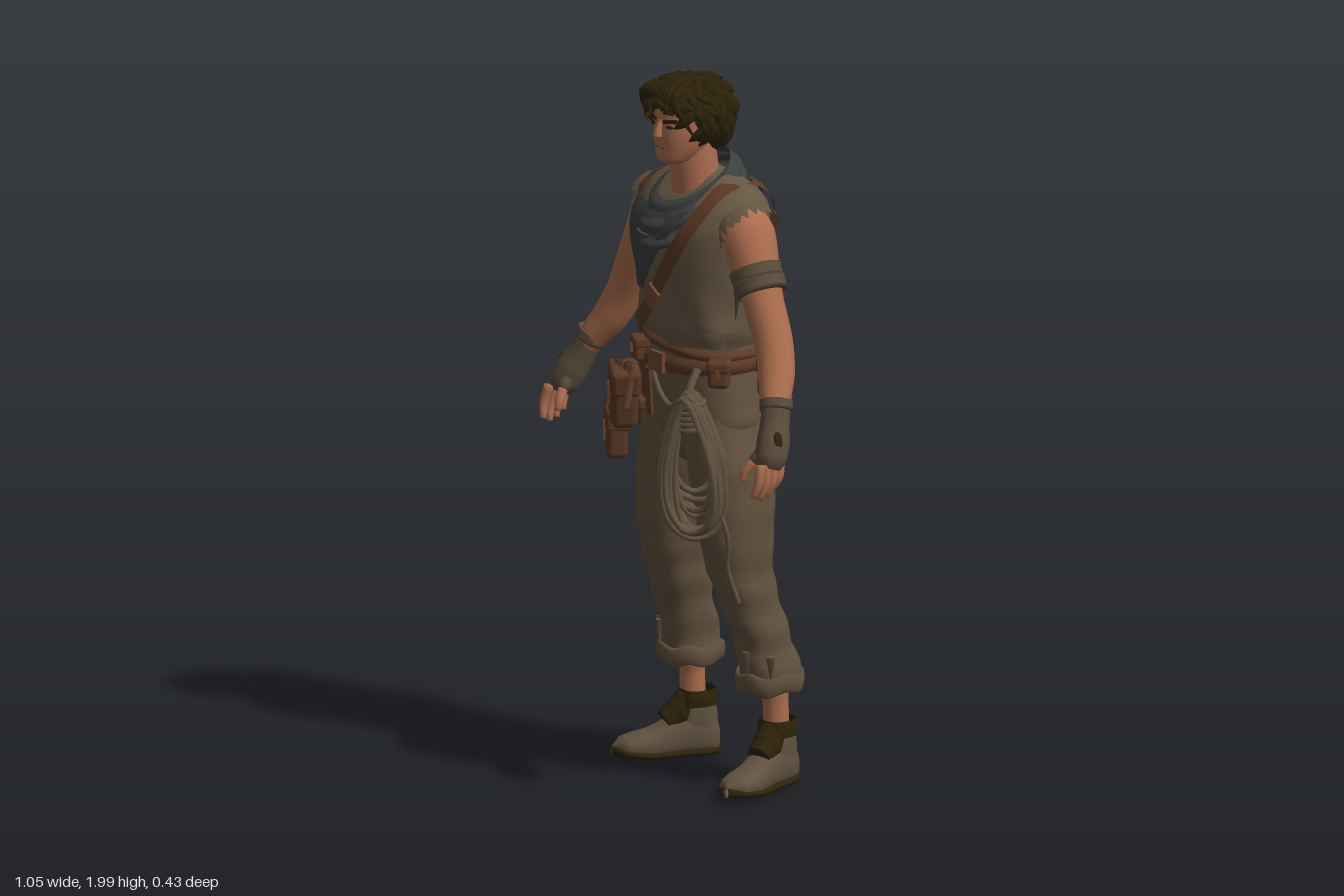
import * as THREE from 'three';
import { mergeVertices } from 'three/addons/utils/BufferGeometryUtils.js';
import { RoundedBoxGeometry } from 'three/addons/geometries/RoundedBoxGeometry.js';

const mat = (name, color) => Object.assign(new THREE.MeshStandardMaterial({ color, side: THREE.DoubleSide }), { name });
const M = {
  skin: mat('skin', 0xaa6c4d), dark: mat('dark brown', 0x2d2209), vest: mat('vest cloth', 0x655542),
  pants: mat('trouser cloth', 0x61503d), leather: mat('leather', 0x5c3925), tan: mat('light leather', 0x70452f),
  scarf: mat('scarf', 0x3b3f3d), wrap: mat('wraps', 0x594b3b), rope: mat('rope', 0x645341), boot: mat('boot', 0x605140),
};
const { sin, cos, abs, sign, PI, min, max } = Math, TAU = PI * 2;
const V = (x, y, z) => new THREE.Vector3(x, y, z);
let seed = 7;
const rnd = () => (seed = (seed * 16807) % 2147483647) / 2147483647;

function add(parent, name, geo, material, pos = [0, 0, 0], rot = [0, 0, 0]) {
  const m = new THREE.Mesh(geo, material);
  m.name = name; m.position.set(...pos); m.rotation.set(...rot);
  parent.add(m);
}
// smooth grid surface from a rule f(u, v) -> Vector3
function sheet(f, nu = 24, nv = 12) {
  const pos = [], idx = [];
  for (let j = 0; j <= nv; j++) for (let i = 0; i <= nu; i++) pos.push(...f(i / nu, j / nv).toArray());
  for (let j = 0; j < nv; j++) for (let i = 0; i < nu; i++) {
    const a = j * (nu + 1) + i, c = a + nu + 1;
    idx.push(a, a + 1, c + 1, a, c + 1, c);
  }
  let g = new THREE.BufferGeometry();
  g.setAttribute('position', new THREE.Float32BufferAttribute(pos, 3));
  g.setIndex(idx);
  g = mergeVertices(g, 1e-5);
  g.computeVertexNormals();
  return g;
}
// smooth interpolation of rows by their first column
function rowAt(rows, k) {
  let i = 0;
  while (i < rows.length - 2 && k > rows[i + 1][0]) i++;
  const b = rows[i], c = rows[i + 1], a = rows[i - 1] || b, d = rows[i + 2] || c;
  const t = min(1, max(0, (k - b[0]) / (c[0] - b[0])));
  return b.map((_, n) => b[n] + 0.5 * t * (c[n] - a[n] + t * (2 * a[n] - 5 * b[n] + 4 * c[n] - d[n] + t * (3 * (b[n] - c[n]) + d[n] - a[n]))));
}
const Q = 2.4, pw = (s) => sign(s) * abs(s) ** (2 / Q);
// point on a body made of rows [y, cx, cz, rx, rz]
function ring(rows, a, y, off = 0) {
  const [, cx, cz, rx, rz] = rowAt(rows, y);
  return V(cx + (rx + off) * pw(sin(a)), y, cz + (rz + off) * pw(cos(a)));
}
const loft = (rows, bump = () => 0, nu = 36, nv = 30) => sheet((u, v) => {
  const y = rows[0][0] + (rows[rows.length - 1][0] - rows[0][0]) * v;
  return ring(rows, u * TAU, y, bump(u * TAU, y));
}, nu, nv);
// round limb through points [x, y, z, radius]
function limb(pts, nu = 14, nv = 20) {
  const c = new THREE.CatmullRomCurve3(pts.map((p) => V(p[0], p[1], p[2])));
  return sheet((u, v) => {
    const j = Math.round(v * nv), t = min(1, max(0, (j - 1) / (nv - 2))), s = t * (pts.length - 1);
    const i = min(pts.length - 2, s | 0), r = j % nv ? pts[i][3] + (pts[i + 1][3] - pts[i][3]) * (s - i) : 0;
    const T = c.getTangent(t), N = V(0.13, 0.2, 1).cross(T).normalize(), B = T.clone().cross(N);
    return c.getPoint(t).addScaledVector(N, r * cos(u * TAU)).addScaledVector(B, r * sin(u * TAU));
  }, nu, nv);
}
const cord = (pts, r, closed = false, n = 48) =>
  new THREE.TubeGeometry(new THREE.CatmullRomCurve3(pts.map((p) => V(...p)), closed), n, r, 6, closed);

const TORSO = [[1.25, 0, -0.025, 0.182, 0.13], [1.29, 0, -0.027, 0.196, 0.143], [1.35, 0, -0.031, 0.195, 0.15], [1.42, 0, -0.031, 0.2, 0.155],
  [1.5, 0, -0.026, 0.207, 0.154], [1.58, 0, -0.027, 0.216, 0.145], [1.64, 0, -0.038, 0.216, 0.118],
  [1.68, 0, -0.045, 0.176, 0.085], [1.71, 0, -0.04, 0.105, 0.05], [1.725, 0, -0.04, 0.04, 0.02]];
const HIPS = [[0.885, 0, -0.035, 0.008, 0.05], [0.91, 0, -0.035, 0.05, 0.085], [0.96, 0, -0.035, 0.15, 0.105], [1.02, 0, -0.033, 0.193, 0.117],
  [1.08, 0, -0.03, 0.187, 0.12], [1.18, 0, -0.025, 0.173, 0.117], [1.28, 0, -0.025, 0.165, 0.11]];
const LEG = [[0.28, 0.185, -0.115, 0.074, 0.08], [0.33, 0.185, -0.115, 0.076, 0.083], [0.4, 0.18, -0.1, 0.073, 0.078],
  [0.5, 0.168, -0.07, 0.076, 0.08], [0.6, 0.155, -0.042, 0.08, 0.086], [0.7, 0.148, -0.032, 0.09, 0.099],
  [0.8, 0.138, -0.033, 0.099, 0.107], [0.9, 0.116, -0.035, 0.111, 0.114], [0.97, 0.105, -0.035, 0.102, 0.114], [1.05, 0.09, -0.035, 0.095, 0.108]];
const HEAD = [[1.742, 0, 0.07, 0.012, 0.015], [1.755, 0, 0.065, 0.042, 0.048], [1.79, 0, 0.045, 0.063, 0.073], [1.83, 0, 0.03, 0.075, 0.09],
  [1.88, 0, 0.02, 0.079, 0.096], [1.93, 0, 0.013, 0.077, 0.09], [1.97, 0, 0.01, 0.04, 0.045]];

// drop an (x, y) point onto the front or back of the torso
function onTorso(x, y, side, off) {
  const [, , cz, rx, rz] = rowAt(TORSO, y), t = min(1, abs(x) / rx);
  return V(x, y + off * 0.7 * t, cz + side * (rz * (1 - t ** Q) ** (1 / Q) + off));
}
function strap(pts, side, w, off = 0.014) {
  const c = new THREE.CatmullRomCurve3(pts.map((p) => V(p[0], p[1], 0)));
  return sheet((u, v) => {
    const p = c.getPoint(v), t = c.getTangent(v), k = w * (u - 0.5);
    return onTorso(p.x - t.y * k, p.y + t.x * k, side, off);
  }, 4, 30);
}
function pouch(parent, name, pos, [w, h, d], rot = [0, 0, 0]) {
  const g = new THREE.Group();
  g.name = name; g.position.set(...pos); g.rotation.set(...rot);
  add(g, 'pouchBody', new RoundedBoxGeometry(w, h, d, 3, min(w, h, d) * 0.3), M.leather);
  add(g, 'pouchFlap', new RoundedBoxGeometry(w * 1.07, h * 0.45, d * 1.1, 3, d * 0.2), M.leather, [0, h * 0.3, 0]);
  add(g, 'pouchTab', new THREE.BoxGeometry(w * 0.16, h * 0.4, 0.008), M.tan, [0, h * 0.05, d * 0.56]);
  parent.add(g);
}

function buildArm(parent) {
  add(parent, 'arm', limb([[0.165, 1.6, -0.03, 0.072], [0.205, 1.56, -0.03, 0.077], [0.25, 1.48, -0.024, 0.066], [0.295, 1.4, -0.018, 0.056],
    [0.345, 1.3, -0.016, 0.053], [0.385, 1.22, 0.004, 0.051], [0.42, 1.165, 0.033, 0.042], [0.45, 1.11, 0.055, 0.034]], 18, 30), M.skin);
  // torn armhole edge
  add(parent, 'tornSleeve', sheet((u, v) => {
    const a = u * TAU, i = Math.round(u * 44), len = v * (i % 2 ? 0.055 : 0.032 + 0.012 * sin(i * 2.3)), r = 0.086 + 0.008 * v;
    return V(0.172 + len * 0.85 + cos(a) * r * 0.45, 1.595 - len * 0.5 + cos(a) * r * 0.8, -0.034 + sin(a) * r);
  }, 44, 4), M.vest);
  // glove, fingers and thumb
  add(parent, 'glove', limb([[0.432, 1.16, 0.037, 0.04], [0.45, 1.11, 0.055, 0.04], [0.47, 1.06, 0.075, 0.046],
    [0.483, 1.02, 0.092, 0.044], [0.488, 0.995, 0.1, 0.03]]), M.wrap);
  add(parent, 'gloveCuff', limb([[0.428, 1.165, 0.034, 0.046], [0.438, 1.14, 0.043, 0.045]], 14, 6), M.wrap);
  add(parent, 'glovePatch', new THREE.SphereGeometry(0.025, 12, 8).scale(0.35, 1.1, 0.8), M.dark, [0.504, 1.075, 0.078], [0, 0.2, 0.35]);
  for (let i = 0; i < 4; i++) {
    const z = 0.07 + i * 0.022, L = [0.07, 0.088, 0.095, 0.085][i];
    add(parent, 'finger', limb([[0.495, 1.015, z, 0.014], [0.503, 1.01 - L * 0.5, z + 0.01, 0.013], [0.492, 1.01 - L, z + 0.022, 0.009]], 8, 8), M.skin);
  }
  add(parent, 'thumbSleeve', limb([[0.462, 1.05, 0.09, 0.024], [0.448, 1.01, 0.125, 0.017]], 8, 6), M.wrap);
  add(parent, 'thumb', limb([[0.45, 1.015, 0.12, 0.015], [0.436, 0.985, 0.143, 0.014], [0.432, 0.958, 0.152, 0.009]], 8, 8), M.skin);
}

function buildLeg(parent) {
  add(parent, 'trouserLeg', loft(LEG, (a, y) => 0.004 * sin(y * 55 + 2 * sin(a)) * (y < 0.62 ? 1 : 0.3)), M.pants);
  // rolled, frayed cuff
  add(parent, 'trouserCuff', sheet((u, v) => {
    const a = u * TAU, b = v * TAU, p = ring(LEG, a, 0.3 + 0.028 * sin(b), 0.002 + 0.009 * cos(b));
    return p.setY(p.y + 0.006 * sin(a * 5));
  }, 36, 8), M.pants);
  for (const [a, y] of [[0.2, 0.36], [1.1, 0.35]]) {
    const p = ring(LEG, a, y, 0.003);
    add(parent, 'frayedTab', new THREE.ConeGeometry(0.016, 0.07, 4), M.pants, p.toArray(), [PI, a, 0]);
  }
  add(parent, 'ankle', limb([[0.19, 0.32, -0.12, 0.045], [0.195, 0.24, -0.128, 0.035], [0.195, 0.15, -0.13, 0.036]]), M.skin);
  // boot
  const boot = new THREE.Group();
  boot.name = 'boot'; boot.position.set(0.195, 0, -0.125); boot.rotation.y = 0.33;
  const FOOT = [[-0.08, 0.004, 0.07], [-0.07, 0.034, 0.1], [-0.02, 0.045, 0.13], [0.04, 0.045, 0.122], [0.1, 0.05, 0.09],
    [0.16, 0.051, 0.067], [0.2, 0.04, 0.05], [0.222, 0.004, 0.03]];
  const shoe = (grow, height) => sheet((u, v) => {
    const z = -0.08 + 0.302 * v, [, w, h] = rowAt(FOOT, z), a = -u * TAU, H = height || h;
    const lift = 0.015 * max(0, (z - 0.12) / 0.1);
    return V(max(0.002, w + grow) * pw(sin(a)), lift + H / 2 + H / 2 * pw(cos(a)), z * (1 + grow * 4));
  }, 24, 26);
  add(boot, 'bootFoot', shoe(0, 0), M.boot);
  add(boot, 'bootSole', shoe(0.005, 0.028), M.dark);
  add(boot, 'bootShaft', loft([[0.05, 0, -0.015, 0.043, 0.06], [0.12, 0, -0.013, 0.045, 0.058], [0.16, 0, -0.015, 0.044, 0.05]], undefined, 24, 8), M.boot);
  add(boot, 'bootCollar', loft([[0.142, 0, -0.014, 0.049, 0.057], [0.17, 0, -0.015, 0.05, 0.053], [0.188, 0, -0.016, 0.046, 0.048]], (a) => 0.002 * sin(a * 4), 24, 6), M.dark);
  add(boot, 'bootTongue', limb([[0, 0.16, 0.004, 0.04], [0, 0.122, 0.034, 0.043], [0, 0.096, 0.075, 0.034]]), M.dark);
  parent.add(boot);
}

function buildHead(parent) {
  add(parent, 'face', loft(HEAD), M.skin);
  add(parent, 'neck', limb([[0, 1.64, -0.02, 0.085], [0, 1.7, 0, 0.068], [0, 1.8, 0.01, 0.062]]), M.skin);
  add(parent, 'nose', limb([[0, 1.872, 0.109, 0.008], [0, 1.845, 0.123, 0.011], [0, 1.826, 0.126, 0.014]], 10, 10), M.skin);
  add(parent, 'mouth', new THREE.BoxGeometry(0.036, 0.004, 0.008), M.leather, [0, 1.795, 0.114]);
  for (const s of [-1, 1]) {
    add(parent, 'ear', new THREE.SphereGeometry(0.022, 10, 8).scale(0.5, 1.2, 0.8), M.skin, [s * 0.08, 1.845, 0.015]);
    add(parent, 'eye', new THREE.SphereGeometry(0.012, 10, 6).scale(1.3, 0.55, 0.5), M.dark, [s * 0.033, 1.857, 0.109], [0, s * 0.3, 0]);
    add(parent, 'eyebrow', new THREE.BoxGeometry(0.042, 0.01, 0.009), M.dark, [s * 0.037, 1.874, 0.11], [0, s * 0.35, s * 0.12]);
  }
  // hair: two caps covered in tousled, tapered locks sweeping from the crown
  add(parent, 'hairCap', new THREE.SphereGeometry(1, 24, 16).scale(0.102, 0.097, 0.1), M.dark, [0, 1.888, -0.008]);
  add(parent, 'napeHair', new THREE.SphereGeometry(1, 20, 12).scale(0.082, 0.085, 0.064), M.dark, [0, 1.845, -0.03]);
  const scalp = (phi, th, k) => {
    const c = cos(phi), s = k * (c > 0 ? sin(phi) : max(sin(phi), 0.8) - 0.08 * -c);
    return [0.11 * s * sin(th), 1.885 + (c > 0 ? 0.1 : 0.135) * k * c, 0.013 + 0.117 * s * cos(th)];
  };
  for (let i = 0; i < 190; i++) {
    const th = i * 2.39996, around = Math.acos(cos(th)), k = min(1, max(0, (around - 0.7) / 0.8));
    const limit = 1.3 + (0.55 + 0.55 * around / PI) * k, p0 = Math.sqrt((i + 0.5) / 190) * (limit - 0.3);
    const e = min(limit + 0.35 * (rnd() - 0.5), p0 + 0.5 + 0.3 * rnd()), sw = (rnd() - 0.4) * 1.3, kick = 0.98 + 0.13 * rnd(), r = 0.01 + 0.006 * rnd();
    add(parent, 'hairLock', limb([[...scalp(p0, th, 0.88), r], [...scalp(p0 + (e - p0) * 0.35, th + sw * 0.2, 0.96), r * 1.2],
      [...scalp(p0 + (e - p0) * 0.75, th + sw * 0.6, kick * 0.97), r], [...scalp(e, th + sw, kick), 0.002]], 6, 8), M.dark);
  }
  // loose locks over the brow, parted off-centre
  for (const [x, x2, y] of [[0.01, 0.055, 1.895], [0.02, 0.08, 1.88], [-0.01, -0.045, 1.885], [-0.02, -0.075, 1.87], [-0.05, -0.092, 1.83], [0.05, 0.093, 1.84]])
    add(parent, 'browLock', limb([[x, 1.965, 0.085, 0.012], [(x + x2) / 2, 1.94, 0.122, 0.014], [x2, y, 0.128 - abs(x2) * 0.6, 0.003]], 6, 8), M.dark);
}

function buildScarf(parent) {
  add(parent, 'scarfCowl', sheet((u, v) => {
    const a = u * TAU, f = (1 + cos(a)) / 2, puff = 0.014 * sin(v * PI) + 0.007 * sin(v * 15 + a);
    const y = (1.768 - 0.12 * f) + (-0.08 - 0.05 * f) * v, z = cos(a) > 0 ? 0.1 + 0.055 * v : 0.1 + 0.05 * v;
    return V((0.092 + 0.035 * v + puff) * sin(a), y, 0.008 + (z + puff) * cos(a));
  }, 40, 16), M.scarf);
  const drape = (side, y0, y1, x1, w0, w1, off) => sheet((u, v) => onTorso(x1 * v + (2 * u - 1) * (w0 + (w1 - w0) * v),
    y0 + (y1 - y0) * v + 0.008 * sin(u * 14), side, off * (1 - 0.5 * v) + 0.004 * sin(u * 16 + v * 5)), 16, 14);
  add(parent, 'scarfFrontDrape', drape(1, 1.62, 1.385, -0.075, 0.118, 0.025, 0.03), M.scarf);
  add(parent, 'scarfBackDrape', drape(-1, 1.69, 1.5, 0.035, 0.125, 0.045, 0.012), M.scarf);
  add(parent, 'scarfTip', new THREE.ConeGeometry(0.035, 0.13, 6).scale(1, 1, 0.4), M.scarf, [-0.04, 1.49, 0.148], [PI, 0, 0.15]);
}

function buildGear(parent) {
  // chest strap and shoulder patch
  add(parent, 'chestStrap', strap([[0.155, 1.69], [0.14, 1.61], [0.05, 1.45], [-0.05, 1.32], [-0.12, 1.25]], 1, 0.044, 0.02), M.leather);
  add(parent, 'backStrap', strap([[0.155, 1.69], [0.15, 1.6], [0.07, 1.44], [-0.04, 1.32], [-0.13, 1.25]], -1, 0.034, 0.016), M.leather);
  add(parent, 'strapBuckle', new THREE.BoxGeometry(0.05, 0.055, 0.012), M.tan, onTorso(0.0, 1.38, 1, 0.024).toArray(), [0, 0, -0.55]);
  add(parent, 'shoulderPatch', strap([[-0.165, 1.62], [-0.15, 1.67]], 1, 0.04, 0.012), M.leather);
  // belts
  for (const [y, h, tilt, off] of [[1.165, 0.045, 0.012, 0.016], [1.222, 0.03, -0.012, 0.014]])
    add(parent, 'belt', sheet((u, v) => ring(HIPS, u * TAU, y + h * v + tilt * sin(u * TAU), off + 0.01 * sin(v * PI)), 40, 6), M.leather);
  add(parent, 'beltBuckle', new THREE.BoxGeometry(0.06, 0.055, 0.012), M.tan, [-0.01, 1.19, 0.12]);
  // pouches round the waist
  pouch(parent, 'frontRightHolster', [-0.195, 1.05, 0.1], [0.1, 0.17, 0.075], [0, -0.5, -0.2]);
  pouch(parent, 'lowerRightHolster', [-0.25, 0.93, 0.085], [0.065, 0.14, 0.06], [0, -0.5, -0.1]);
  pouch(parent, 'rightHipBag', [-0.225, 1.07, -0.075], [0.15, 0.16, 0.08], [0, PI + 1.05, 0]);
  pouch(parent, 'rightSidePouch', [-0.24, 0.975, -0.03], [0.09, 0.08, 0.05], [0, PI + 1.2, 0]);
  pouch(parent, 'backPouch', [-0.07, 1.19, -0.16], [0.095, 0.09, 0.05], [0, PI + 0.1, 0]);
  pouch(parent, 'leftHipPouch', [0.185, 1.16, -0.125], [0.11, 0.12, 0.075], [0, PI - 0.7, 0]);
  pouch(parent, 'leftBackPouch', [0.105, 1.17, -0.165], [0.075, 0.1, 0.06], [0, PI - 0.2, 0]);
  pouch(parent, 'frontRightPouch', [-0.12, 1.2, 0.1], [0.06, 0.065, 0.04], [0, -0.4, 0]);
  pouch(parent, 'frontLeftPouch', [0.195, 1.19, 0.06], [0.06, 0.075, 0.05], [0, 0.8, 0]);
  for (let i = 0; i < 4; i++)
    add(parent, 'holsterRoll', limb([[-0.23 + i * 0.025, 1.02, 0.125, 0.012], [-0.2 + i * 0.022, 1.15, 0.11, 0.013]], 8, 6), i % 2 ? M.tan : M.leather);
  // hanging straps
  add(parent, 'backHangingStrap', new THREE.BoxGeometry(0.028, 0.48, 0.008), M.leather, [-0.14, 0.91, -0.148], [-0.02, 0.15, 0.06]);
  add(parent, 'frontHangingStrap', new THREE.BoxGeometry(0.022, 0.13, 0.008), M.leather, [-0.07, 1.09, 0.105], [0, 0, 0.1]);
  // worn patch on the back of the left thigh
  add(parent, 'thighPatch', sheet((u, v) => ring(LEG, PI + 0.25 + 0.6 * u, 0.895 + (v - 0.5) * (0.03 + 0.08 * sin(u * PI)), 0.006), 10, 6), M.dark);
  // coiled rope on the left hip
  for (let i = 0; i < 14; i++) {
    const w = 0.042 + 0.042 * rnd(), h = 0.14 + 0.07 * rnd(), tw = 0.7 + (rnd() - 0.5) * 0.9, top = 1.13 + 0.025 * rnd(), d = 0.005 * (i - 6), pts = [];
    for (let k = 0; k < 14; k++) {
      const a = (k / 14) * TAU, x = w * sin(a) * (1 - 0.45 * cos(a));
      pts.push([0.18 + x * cos(tw) + d * sin(tw), top - h + h * cos(a), 0.138 - x * sin(tw) + d * cos(tw) + 0.012 * cos(a)]);
    }
    add(parent, 'ropeLoop', cord(pts, 0.009, true), M.rope);
  }
  for (let i = 0; i < 5; i++)
    add(parent, 'ropeBinding', new THREE.TorusGeometry(0.032, 0.009, 6, 16), M.rope, [0.178, 1.05 + i * 0.016, 0.138], [PI / 2 + 0.2, 0.1, 0]);
  add(parent, 'ropeHanger', cord([[0.15, 1.2, 0.1], [0.165, 1.15, 0.135], [0.185, 1.1, 0.14]], 0.012), M.rope);
  add(parent, 'ropeTail', cord([[0.235, 0.85, 0.1], [0.25, 0.74, 0.07], [0.235, 0.65, 0.06], [0.245, 0.55, 0.03]], 0.007), M.rope);
  add(parent, 'frontCord', cord([[-0.05, 1.18, 0.115], [0, 1.1, 0.115], [0.06, 1.08, 0.12], [0.13, 1.17, 0.115]], 0.008), M.rope);
  add(parent, 'leftHipCord', cord([[0.13, 1.17, -0.185], [0.17, 1.09, -0.19], [0.24, 1.1, -0.13], [0.24, 1.19, -0.075], [0.19, 1.22, -0.165]], 0.009, true), M.rope);
  // wrapped band with tails on the left upper arm
  for (let i = 0; i < 2; i++)
    add(parent, 'armBand', limb([[0.245 + i * 0.018, 1.487 - i * 0.03, -0.024, 0.073], [0.265 + i * 0.018, 1.453 - i * 0.03, -0.022, 0.07]], 18, 6), M.wrap);
  for (const [x, z, h] of [[0.235, 0.03, 0.1], [0.255, -0.08, 0.14], [0.275, -0.09, 0.1]])
    add(parent, 'armBandTail', new THREE.ConeGeometry(0.018, h, 4).scale(1, 1, 0.3), M.wrap, [x, 1.44 - h / 2, z], [PI, 0, 0.1]);
}

export function createModel() {
  const model = new THREE.Group();
  model.name = 'adventurer';
  add(model, 'vest', loft(TORSO, (a, y) => y < 1.45 ? 0.006 * sin(a * 7 + y * 20) * (1.45 - y) / 0.2 : 0, 48, 36), M.vest);
  add(model, 'vestHem', sheet((u, v) => ring(TORSO, u * TAU, 1.3 - v * (0.045 + 0.012 * sin(u * TAU * 6)), 0.006 + 0.004 * sin(u * TAU * 9)), 72, 4), M.vest);
  add(model, 'trouserSeat', loft(HIPS), M.pants);
  for (const s of [1, -1]) {
    const side = new THREE.Group();
    side.name = s > 0 ? 'leftLimbs' : 'rightLimbs';
    side.scale.x = s;
    buildArm(side);
    buildLeg(side);
    model.add(side);
  }
  buildHead(model);
  buildScarf(model);
  buildGear(model);
  return model;
}
